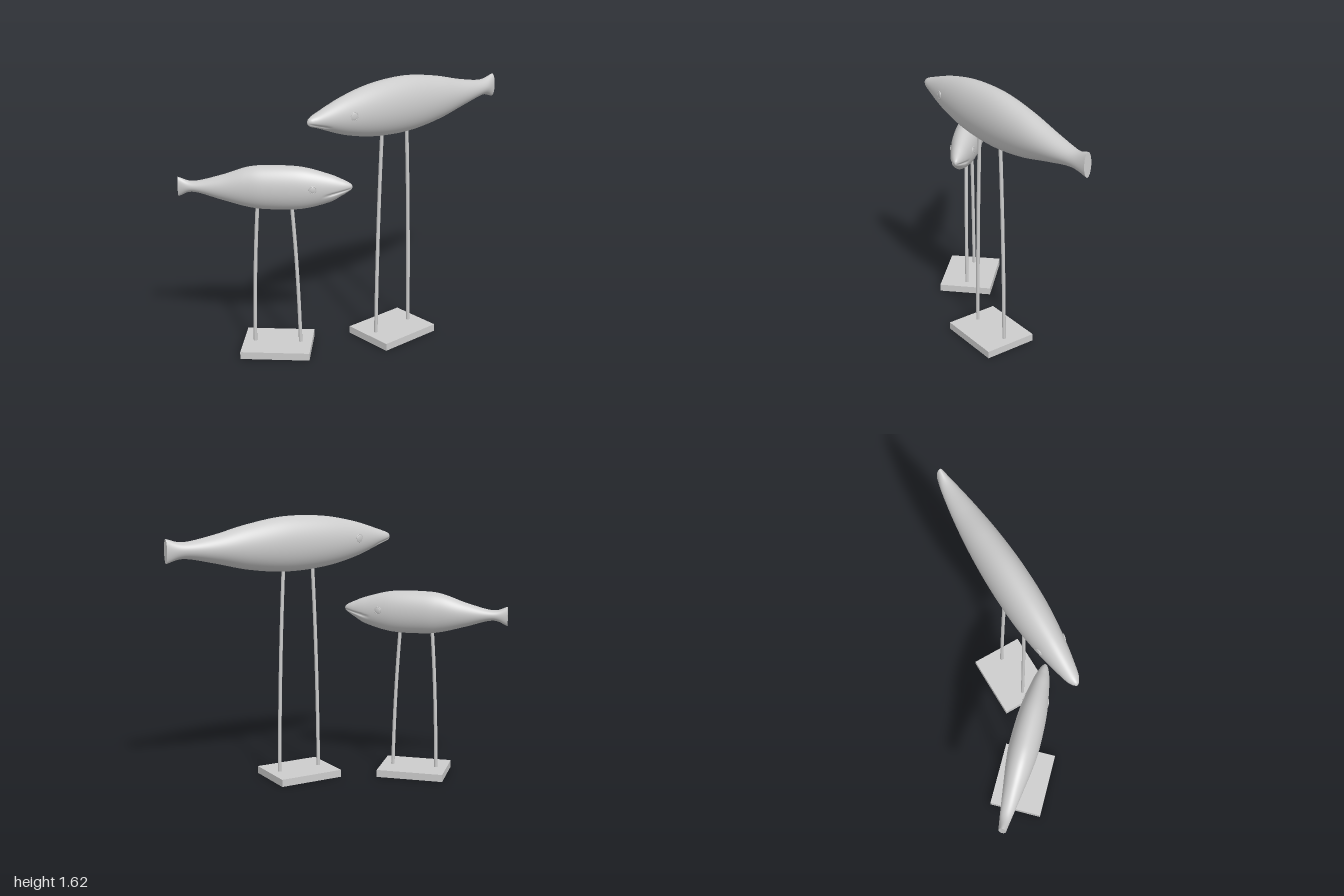
import * as THREE from 'three';

const material = new THREE.MeshStandardMaterial({ color: 0xcccccc, side: THREE.DoubleSide });

function add(parent, name, geometry) {
  const mesh = new THREE.Mesh(geometry, material);
  mesh.name = name;
  parent.add(mesh);
  return mesh;
}

// Lofted elliptical body; rows run nose to tail as [x, top, bottom, halfWidth]
function bodyGeometry(rows, mouth) {
  const outline = new THREE.CatmullRomCurve3(rows.map(r => new THREE.Vector3(r[0], r[1], r[2])), false, 'catmullrom');
  const width = new THREE.CatmullRomCurve3(rows.map(r => new THREE.Vector3(r[0], r[3], 0)), false, 'catmullrom');
  const rings = 150, sides = 72;
  const positions = [], index = [];
  for (let i = 0; i <= rings; i++) {
    const { x, y: top, z: bottom } = outline.getPoint(i / rings);
    const w = width.getPoint(i / rings).y;
    const centre = (top + bottom) / 2, half = (top - bottom) / 2;
    for (let j = 0; j < sides; j++) {
      const a = j / sides * Math.PI * 2;
      const y = centre + half * Math.sin(a);
      // Mouth: a narrow groove that fades out behind the snout
      const along = (rows[0][0] - x) / mouth.length;
      const line = mouth.y - mouth.drop * along;
      const fade = THREE.MathUtils.clamp((1 - along) * 3, 0, 1);
      const groove = 0.22 * fade * Math.exp(-(((y - line) / 0.006) ** 2));
      positions.push(x, y, w * Math.cos(a) * (1 - groove));
    }
  }
  for (let i = 0; i < rings; i++) {
    for (let j = 0; j < sides; j++) {
      const k = (j + 1) % sides;
      const a = i * sides + j, b = i * sides + k, c = a + sides, d = b + sides;
      index.push(a, b, c, b, d, c);
    }
  }
  // Flat tail end with its own vertices, so the rim stays crisp
  const start = positions.length / 3;
  positions.push(...positions.slice(-sides * 3));
  const last = rows[rows.length - 1];
  positions.push(last[0], (last[1] + last[2]) / 2, 0);
  for (let j = 0; j < sides; j++) index.push(start + sides, start + j, start + (j + 1) % sides);

  const geometry = new THREE.BufferGeometry();
  geometry.setAttribute('position', new THREE.Float32BufferAttribute(positions, 3));
  geometry.setIndex(index);
  geometry.computeVertexNormals();
  return geometry;
}

// A carved fish on two bowed rods over a flat base, nose towards local +x
function createFish({ name, rows, mouth, eye, legTop }) {
  const fish = new THREE.Group();
  fish.name = name;
  add(fish, 'body', bodyGeometry(rows, mouth));

  for (const side of [1, -1]) {
    const socket = new THREE.Group();
    socket.name = side > 0 ? 'rightEye' : 'leftEye';
    socket.position.set(eye.x, eye.y, eye.z * side);
    socket.rotation.y = side > 0 ? eye.yaw : Math.PI - eye.yaw;
    add(socket, 'eyeRim', new THREE.TorusGeometry(eye.r, 0.003, 8, 32));
    add(socket, 'eyeball', new THREE.SphereGeometry(eye.r, 24, 12)).scale.z = 0.25;
    fish.add(socket);

    const path = new THREE.QuadraticBezierCurve3(
      new THREE.Vector3(side * 0.138, 0.03, 0),
      new THREE.Vector3(side * 0.131, legTop * 0.55, 0),
      new THREE.Vector3(side * 0.099, legTop, 0));
    add(fish, side > 0 ? 'frontLeg' : 'rearLeg', new THREE.TubeGeometry(path, 24, 0.011, 16));
  }

  add(fish, 'base', new THREE.BoxGeometry(0.413, 0.045, 0.333)).position.y = 0.0225;
  return fish;
}

export function createModel() {
  const model = new THREE.Group();
  model.name = 'fishPair';

  const large = createFish({
    name: 'largeFish',
    rows: [
      [0.657, 1.474, 1.462, 0.003], [0.65, 1.487, 1.453, 0.014], [0.632, 1.498, 1.443, 0.027],
      [0.58, 1.517, 1.425, 0.046], [0.388, 1.577, 1.353, 0.083], [0.165, 1.617, 1.305, 0.108],
      [-0.09, 1.622, 1.29, 0.113], [-0.334, 1.584, 1.315, 0.102], [-0.551, 1.53, 1.364, 0.08],
      [-0.741, 1.497, 1.4, 0.05], [-0.85, 1.52, 1.377, 0.024],
    ],
    mouth: { y: 1.463, drop: 0.042, length: 0.14 },
    eye: { x: 0.388, y: 1.476, z: 0.082, yaw: 0.22, r: 0.023 },
    legTop: 1.33,
  });
  large.position.set(0.163, 0, 0.157);
  large.rotation.y = THREE.MathUtils.degToRad(190);

  const small = createFish({
    name: 'smallFish',
    rows: [
      [0.453, 1.043, 1.031, 0.003], [0.447, 1.053, 1.021, 0.012], [0.427, 1.066, 1.006, 0.024],
      [0.39, 1.083, 0.982, 0.038], [0.316, 1.112, 0.941, 0.056], [0.153, 1.152, 0.899, 0.081],
      [-0.044, 1.157, 0.895, 0.088], [-0.161, 1.144, 0.909, 0.08], [-0.304, 1.096, 0.947, 0.06],
      [-0.468, 1.056, 0.992, 0.036], [-0.559, 1.08, 0.963, 0.022],
    ],
    mouth: { y: 1.03, drop: 0.042, length: 0.17 },
    eye: { x: 0.23, y: 1.037, z: 0.07, yaw: 0.2, r: 0.02 },
    legTop: 0.93,
  });
  small.position.set(-0.542, 0, -0.032);
  small.rotation.y = THREE.MathUtils.degToRad(-35);

  model.add(large, small);
  return model;
}
